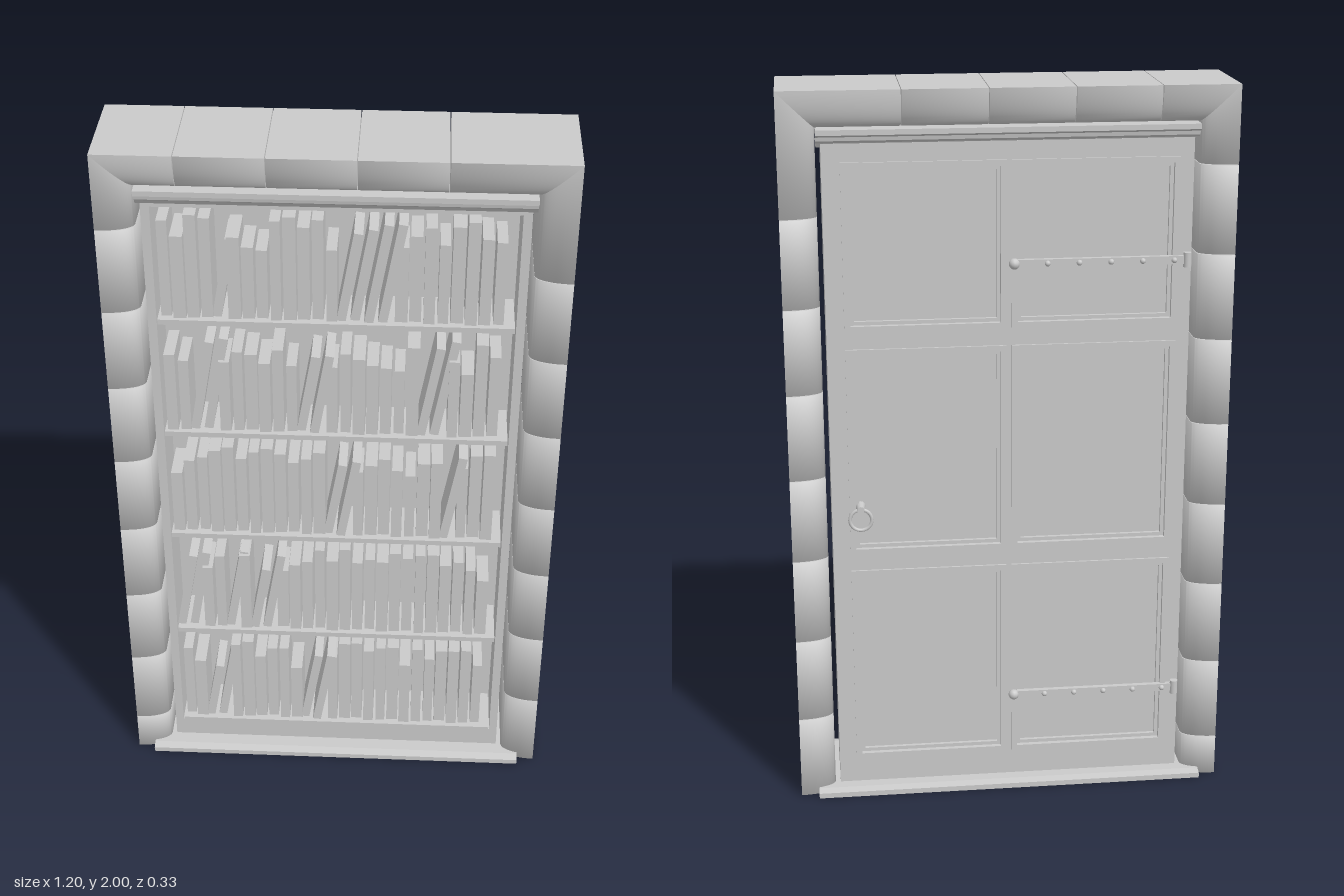
import * as THREE from 'three';
import { toCreasedNormals } from 'three/addons/utils/BufferGeometryUtils.js';

const plainGrey = new THREE.MeshStandardMaterial({ color: 0xcacaca });
plainGrey.name = 'plain grey';

function add(parent, name, geometry, x = 0, y = 0, z = 0) {
  const mesh = new THREE.Mesh(geometry, plainGrey);
  mesh.name = name;
  mesh.position.set(x, y, z);
  parent.add(mesh);
  return mesh;
}

// box given by its limits
function box(parent, name, x0, x1, y0, y1, z0, z1) {
  return add(parent, name, new THREE.BoxGeometry(x1 - x0, y1 - y0, z1 - z0),
    (x0 + x1) / 2, (y0 + y1) / 2, (z0 + z1) / 2);
}

function rectPath(path, x0, x1, y0, y1) {
  path.moveTo(x0, y0);
  path.lineTo(x1, y0);
  path.lineTo(x1, y1);
  path.lineTo(x0, y1);
  path.closePath();
  return path;
}

const extrude = (shape, depth) =>
  new THREE.ExtrudeGeometry(shape, { depth, bevelEnabled: false, curveSegments: 8 });

// stone cross-section: u runs inward from the outer face, both inner corners rounded
const W = 0.098, D = 0.14, R = 0.04;
function stoneProfile() {
  const s = new THREE.Shape();
  s.moveTo(0, -D);
  s.absellipse(0, -D + R, W, R, -Math.PI / 2, 0, false);
  s.absellipse(0, D - R, W, R, 0, Math.PI / 2, false);
  s.closePath();
  return s;
}

// one stone from a to b; miter0 / miter1 cut that end at 45 degrees
function stoneGeometry(a, b, miter0 = 0, miter1 = 0) {
  const gap = 0.001;
  const s0 = a + (miter0 ? 0 : gap), s1 = b - (miter1 ? 0 : gap);
  const g = toCreasedNormals(extrude(stoneProfile(), 1), 0.6);
  const p = g.attributes.position, n = g.attributes.normal;
  const v = new THREE.Vector3();
  for (let i = 0; i < p.count; i++) {
    const u = p.getX(i), end = p.getZ(i) > 0.5;
    p.setZ(i, end ? s1 - u * miter1 : s0 + u * miter0);
    v.fromBufferAttribute(n, i);
    // soften the rounded faces towards the joints
    if (Math.abs(v.z) < 0.1 && v.x > -0.5 && !(end ? miter1 : miter0)) {
      v.z = end ? 0.55 : -0.55;
      v.normalize();
      n.setXYZ(i, v.x, v.y, v.z);
    }
  }
  return g;
}

function buildStones(root) {
  const frame = new THREE.Group();
  frame.name = 'stoneFrame';
  root.add(frame);
  const V = (x, y, z) => new THREE.Vector3(x, y, z);
  const course = (name, joints, basis, m0, m1) => {
    for (let i = 0; i < joints.length - 1; i++) {
      const g = stoneGeometry(joints[i], joints[i + 1],
        i === 0 ? m0 : 0, i === joints.length - 2 ? m1 : 0);
      g.applyMatrix4(basis);
      add(frame, name, g);
    }
  };
  course('leftJambStone', [0, 0.24, 0.48, 0.72, 0.955, 1.195, 1.43, 1.67, 2],
    new THREE.Matrix4().makeBasis(V(-1, 0, 0), V(0, 0, 1), V(0, 1, 0)).setPosition(0.6, 0, 0), 0, 1);
  course('rightJambStone', [0, 0.12, 0.36, 0.6, 0.84, 1.075, 1.315, 1.55, 1.79, 2],
    new THREE.Matrix4().makeBasis(V(1, 0, 0), V(0, 0, -1), V(0, 1, 0)).setPosition(-0.6, 0, 0), 0, 1);
  course('lintelStone', [-0.6, -0.395, -0.17, 0.055, 0.28, 0.6],
    new THREE.Matrix4().makeBasis(V(0, -1, 0), V(0, 0, -1), V(1, 0, 0)).setPosition(0, 2, 0), 1, 1);

  // threshold with gently sloped front and back edges
  const sill = new THREE.Shape();
  [[-0.163, 0], [0.163, 0], [0.163, 0.015], [0.14, 0.02], [-0.14, 0.02], [-0.163, 0.015]]
    .forEach(([z, y], i) => (i ? sill.lineTo(-z, y) : sill.moveTo(-z, y)));
  const g = extrude(sill, 1.1);
  g.rotateY(Math.PI / 2);
  add(frame, 'threshold', g, -0.55);
}

// shelf by shelf: book heights in hundredths, negative ones lean
const shelves = [0.095, 0.455, 0.81, 1.16, 1.515];
const books = [
  [26, 22, -20, -28, 29, 30, 24, 27, 28, 20, -25, -26, 25, 30, 30, 28, 29, 29, 23, 29, 25, 28, 29, 29, 23],
  [-26, -27, 22, 26, -28, 27, -22, -27, 21, 24, 25, 29, 26, 30, 25, 26, 26, 29, 27, 29, 29, 25, 26, 24, 20],
  [20, 24, 25, 28, 29, 25, 28, 29, 27, 24, 26, 28, -24, -26, 22, 24, 26, 23, 21, 25, 26, -28, 24, 28, 29],
  [24, 22, -28, -29, 22, 25, 24, 22, 26, 21, -24, -25, 21, 25, 24, 22, 21, 20, 28, -28, -30, 24, 20, 29, 25],
  [28, 24, 30, 29, -23, 24, 21, 20, 29, 30, 27, 29, 21, -26, -27, -29, -29, 22, 25, 28, 23, 28, 30, 25, 24],
];
const CASE_BACK = -0.04, CASE_FRONT = 0.1;

function buildBookcase(root) {
  const bookcase = new THREE.Group();
  bookcase.name = 'bookcase';
  root.add(bookcase);
  box(bookcase, 'backboard', -0.488, 0.488, 0.02, 1.86, -0.09, CASE_BACK);
  for (const s of [-1, 1]) {
    box(bookcase, 'caseSide', s * 0.4765 - 0.0115, s * 0.4765 + 0.0115, 0.02, 1.86, CASE_BACK, CASE_FRONT);
  }
  box(bookcase, 'plinth', -0.465, 0.465, 0.02, 0.08, CASE_BACK, CASE_FRONT);
  box(bookcase, 'caseTop', -0.465, 0.465, 1.84, 1.86, CASE_BACK, CASE_FRONT);
  shelves.forEach((y, row) => {
    box(bookcase, 'shelf', -0.462, 0.462, y - 0.015, y, CASE_BACK, CASE_FRONT + 0.008);
    books[row].forEach((h, i) => {
      const leaning = h < 0, height = Math.abs(h) / 100;
      const width = leaning ? 0.024 : 0.027 + ((i * 7 + row * 3) % 4) * 0.002;
      const front = 0.085 + ((i * 5 + row * 2) % 7) * 0.002;
      const back = -0.025;
      const g = new THREE.BoxGeometry(width, height, front - back);
      g.translate(0, height / 2, 0);
      const x = -0.44 + i * 0.0358 - (leaning ? 0.012 : 0);
      const book = add(bookcase, 'book', g, x, y, (front + back) / 2);
      if (leaning) book.rotation.z = -0.17;
    });
  });

  // stepped cornice showing on both faces
  const half = [[0.1, 1.85], [0.108, 1.862], [0.116, 1.868], [0.118, 1.878], [0.13, 1.884], [0.13, 1.898]];
  const s = new THREE.Shape();
  s.moveTo(-half[0][0], half[0][1]);
  half.forEach(([z, y]) => s.lineTo(z, y));
  half.slice(1).reverse().forEach(([z, y]) => s.lineTo(-z, y));
  s.closePath();
  const g = extrude(s, 1);
  g.rotateY(Math.PI / 2);
  add(bookcase, 'cornice', g, -0.5);
}

function buildDoor(root) {
  const door = new THREE.Group();
  door.name = 'panelledDoor';
  root.add(door);
  const cols = [[-0.446, -0.012], [0.014, 0.434]];
  const rows = [[0.1, 0.67], [0.73, 1.305], [1.365, 1.805]];
  const face = rectPath(new THREE.Shape(), -0.488, 0.488, 0.02, 1.86);
  for (const [x0, x1] of cols) for (const [y0, y1] of rows) {
    face.holes.push(rectPath(new THREE.Path(), x0, x1, y0, y1));
    // raised outer bead and lower inner step around each panel
    for (const [out, inn, z] of [[-0.006, 0.01, -0.113], [0.01, 0.02, -0.1]]) {
      const ring = rectPath(new THREE.Shape(), x0 + out, x1 - out, y0 + out, y1 - out);
      ring.holes.push(rectPath(new THREE.Path(), x0 + inn, x1 - inn, y0 + inn, y1 - inn));
      add(door, 'panelMoulding', extrude(ring, -0.09 - z), 0, 0, z);
    }
  }
  add(door, 'stilesAndRails', extrude(face, 0.017), 0, 0, -0.107);

  // strap hinges with studs, end ball and knuckle
  for (const y of [0.275, 1.535]) {
    box(door, 'hingeStrap', -0.484, -0.02, y - 0.011, y + 0.011, -0.12, -0.106);
    for (let i = 0; i < 5; i++) {
      add(door, 'hingeStud', new THREE.SphereGeometry(0.008, 10, 6), -0.1 - i * 0.085, y, -0.12);
    }
    add(door, 'hingeTip', new THREE.SphereGeometry(0.015, 12, 8), -0.012, y, -0.115);
    add(door, 'hingeKnuckle', new THREE.CylinderGeometry(0.011, 0.011, 0.04, 12), -0.476, y, -0.116);
  }

  // ring handle
  const boss = new THREE.CylinderGeometry(0.01, 0.014, 0.036, 12);
  boss.rotateX(-Math.PI / 2);
  add(door, 'handleBoss', boss, 0.41, 0.86, -0.108);
  add(door, 'handleRing', new THREE.TorusGeometry(0.03, 0.005, 8, 24), 0.41, 0.83, -0.12);
}

export function createModel() {
  const root = new THREE.Group();
  root.name = 'bookcaseDoor';
  buildStones(root);
  buildBookcase(root);
  buildDoor(root);
  return root;
}
